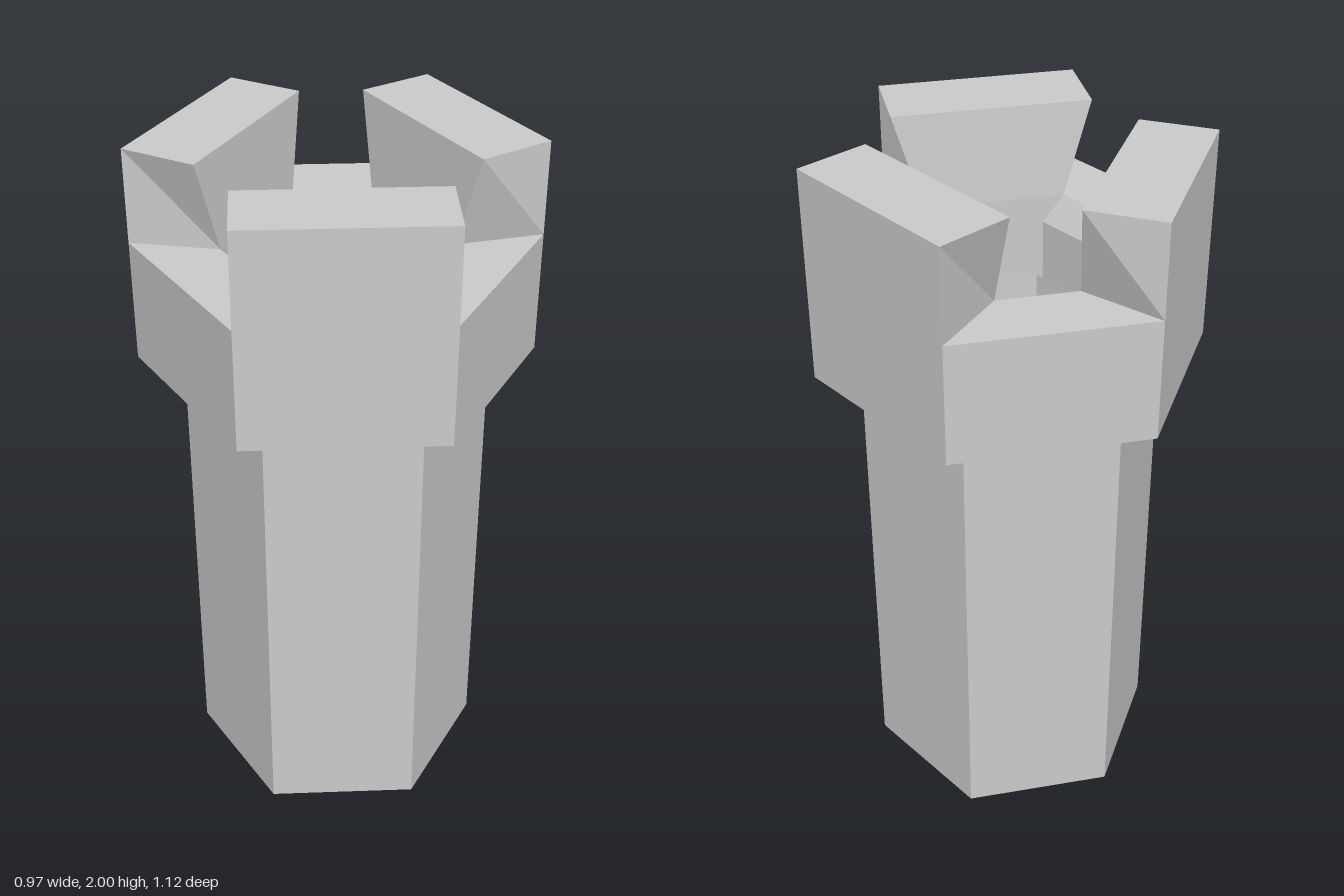
import * as THREE from 'three';

const HEAD_BASE = 1.375, RIM = 1.73, TOP = 2;

// Six-sided ring: sides alternate between apothem a (prong sides) and b (gap sides)
function ring(a, b, y) {
  const w = (2 * b - a) / Math.sqrt(3);
  const points = [];
  for (let k = 0; k < 3; k++) {
    const c = Math.cos(k * Math.PI * 2 / 3), s = Math.sin(k * Math.PI * 2 / 3);
    for (const t of [-w, w]) points.push(new THREE.Vector3(c * a - s * t, y, s * a + c * t));
  }
  return points;
}
const hex = (a, y) => ring(a, a, y);

// Join successive rings with quads on the chosen sides
function loft(rings, sides = [0, 1, 2, 3, 4, 5]) {
  const tris = [];
  for (let r = 0; r < rings.length - 1; r++) {
    const L = rings[r], U = rings[r + 1];
    for (const i of sides) {
      const j = (i + 1) % 6;
      tris.push(L[j], L[i], U[i], L[j], U[i], U[j]);
    }
  }
  return tris;
}

function makeMesh(name, tris) {
  const geometry = new THREE.BufferGeometry().setFromPoints(tris);
  geometry.computeVertexNormals();
  const material = new THREE.MeshStandardMaterial({ color: 0xcccccc, flatShading: true });
  const mesh = new THREE.Mesh(geometry, material);
  mesh.name = name;
  return mesh;
}

export function createModel() {
  const group = new THREE.Group();
  group.name = 'hexSocketPost';

  // Hexagonal stem with its pierced foot
  group.add(makeMesh('stem', loft([hex(0.157, 0), hex(0.373, 0), hex(0.373, HEAD_BASE)])));

  // Wider collar, open on top between the prongs
  const outer = hex(0.485, RIM), inner = ring(0.246, 0.296, RIM);
  group.add(makeMesh('head', [
    ...loft([hex(0.373, HEAD_BASE), hex(0.485, HEAD_BASE), outer]),
    ...loft([outer, inner], [1, 3, 5]),
  ]));

  // Socket wall, groove, raised lip and the bore through the stem
  group.add(makeMesh('socketAndBore', loft([
    inner, hex(0.246, 1.65), hex(0.246, HEAD_BASE), hex(0.195, 1.51), hex(0.157, 0),
  ])));

  // Three prongs with twisted end faces
  const outerTop = hex(0.485, TOP), innerTop = ring(0.265, 0.375, TOP);
  for (let k = 0; k < 3; k++) {
    const p = 2 * k, q = p + 1;
    group.add(makeMesh('prong' + (k + 1), [
      ...loft([outer, outerTop, innerTop, inner], [p]),
      outer[q], outerTop[q], innerTop[q], outer[q], innerTop[q], inner[q],
      outer[p], inner[p], outerTop[p], outerTop[p], inner[p], innerTop[p],
    ]));
  }
  return group;
}
